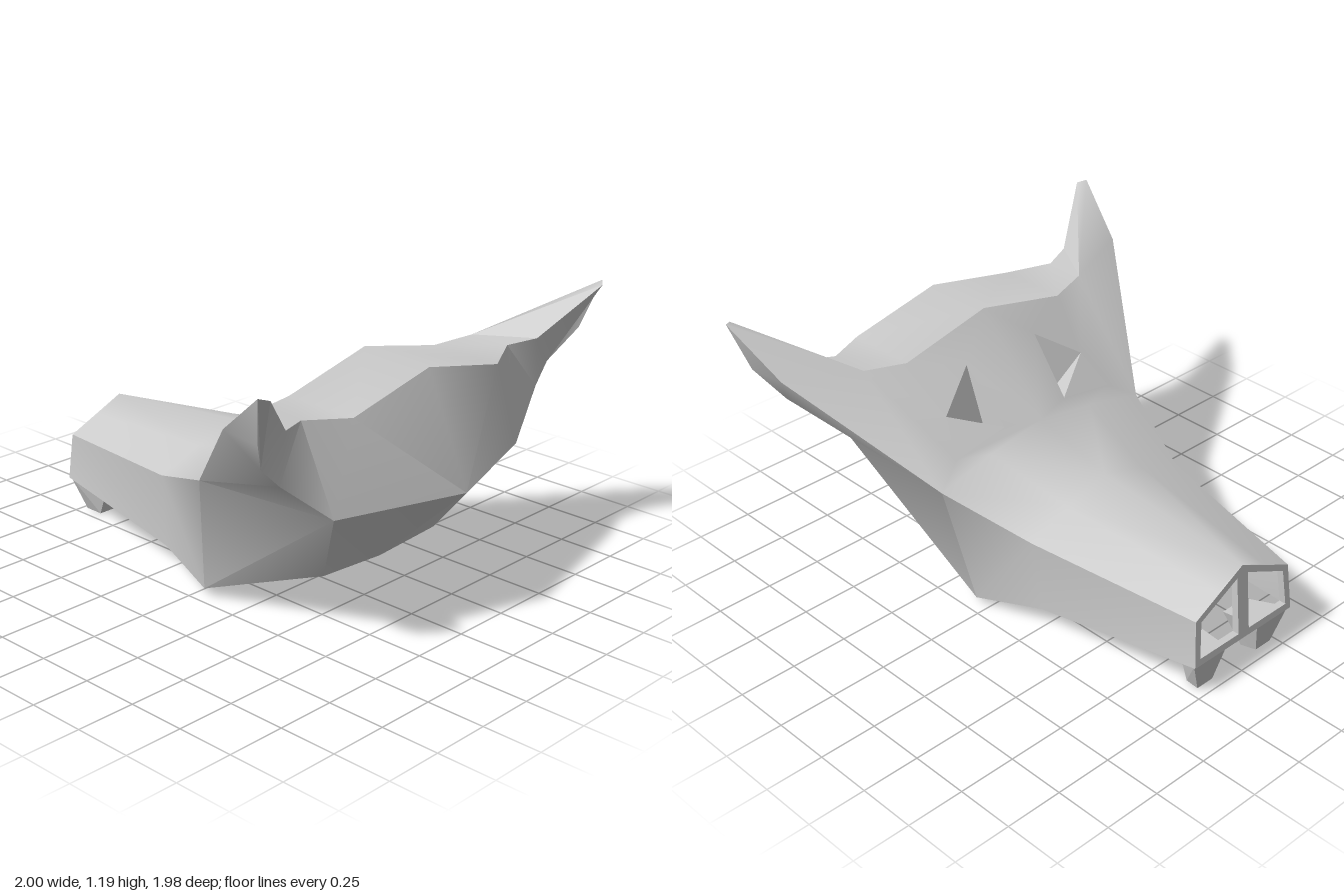
import * as THREE from 'three';
import { toCreasedNormals } from 'three/addons/utils/BufferGeometryUtils.js';

const material = new THREE.MeshStandardMaterial({ color: 0xcccccc, side: THREE.DoubleSide });

// Landmarks of the +z half: the snout points to -x, the horns rise at +x.
const P = {
  // snout sections: ridge, mid roof, eave, lower rim
  r0: [-0.97, 0.495, 0], m0: [-0.975, 0.433, 0.13], e0: [-0.98, 0.37, 0.267], j0: [-1, 0.165, 0.28],
  r1: [-0.23, 0.565, 0], m1: [-0.235, 0.505, 0.21], e1: [-0.24, 0.43, 0.415], j1: [-0.26, 0.1, 0.38],
  r2: [0.14, 0.66, 0], m2: [0.14, 0.615, 0.28], e2: [0.13, 0.555, 0.555], j2: [0.05, 0.035, 0.46],
  // brow line, horn and its tip
  f0: [0.48, 1.05, 0], f1: [0.48, 0.955, 0.42], f2: [0.53, 0.97, 0.6], e3: [0.64, 1, 0.92],
  tip: [0.88, 1.19, 0.99], tipIn: [0.905, 1.18, 0.955],
  h1: [0.82, 0.99, 0.93], h2: [0.74, 0.85, 0.835], h3: [0.75, 0.765, 0.75],
  // back of the crown, widest back line, lower back rim
  b0: [0.8, 1.04, 0], b1: [0.8, 0.95, 0.42], b2: [0.71, 0.965, 0.6], b3: [0.76, 0.975, 0.73],
  c: [1, 0.59, 0], k: [0.82, 0.59, 0.54], l0: [0.58, 0.2, 0], l: [0.58, 0.22, 0.33],
  // eye opening and the deepest point of its pocket
  ea: [0.18, 0.678, 0.17], eb: [0.38, 0.896, 0.19], ec: [0.295, 0.766, 0.38], ed: [0.18, 0.635, 0.43],
  ef: [0.295, 0.63, 0.18],
  // tooth: top ring t, bottom ring u
  t0: [-0.99, 0.165, 0.09], t1: [-0.99, 0.165, 0.275], t2: [-0.83, 0.16, 0.2], t3: [-0.83, 0.16, 0.07],
  u0: [-0.96, 0.01, 0.13], u1: [-0.96, 0.01, 0.215], u2: [-0.89, 0, 0.2], u3: [-0.89, 0, 0.12],
};

// Fan each polygon into triangles, on both sides of the z = 0 plane.
function part(name, polygons, crease = 0.6) {
  const pos = [];
  for (const poly of polygons) {
    const pts = poly.split(' ').map((key) => P[key]);
    for (let i = 1; i < pts.length - 1; i++) {
      const tri = [pts[0], pts[i], pts[i + 1]];
      for (const p of tri) pos.push(...p);
      for (const [x, y, z] of tri.reverse()) pos.push(x, y, -z);
    }
  }
  const geometry = new THREE.BufferGeometry();
  geometry.setAttribute('position', new THREE.Float32BufferAttribute(pos, 3));
  geometry.computeVertexNormals();
  const mesh = new THREE.Mesh(toCreasedNormals(geometry, crease), material);
  mesh.name = name;
  return mesh;
}

// Gabled frame with two openings that closes the end of the snout
function nostrilFrame() {
  const outline = new THREE.Shape([[-0.28, 0.165], [0.28, 0.165], [0.267, 0.37], [0, 0.495], [-0.267, 0.37]]
    .map(([x, y]) => new THREE.Vector2(x, y)));
  for (const s of [-1, 1]) {
    outline.holes.push(new THREE.Path([[0.03, 0.195], [0.25, 0.195], [0.237, 0.355], [0.03, 0.45]]
      .map(([x, y]) => new THREE.Vector2(s * x, y))));
  }
  const geometry = new THREE.ExtrudeGeometry(outline, { depth: 0.03, bevelEnabled: false });
  geometry.rotateY(-Math.PI / 2);
  // lean the frame back with the end of the snout
  const p = geometry.attributes.position;
  for (let i = 0; i < p.count; i++) p.setX(i, p.getX(i) - 0.97 + (p.getY(i) - 0.165) * 0.09);
  geometry.computeVertexNormals();
  const mesh = new THREE.Mesh(geometry, material);
  mesh.name = 'nostrilFrame';
  return mesh;
}

export function createModel() {
  const group = new THREE.Group();
  group.name = 'hornedSkullMask';
  group.add(
    // snout roof, forehead around the eyes, front of the horns
    part('snoutAndForehead', [
      'r0 m0 m1 r1', 'm0 e0 e1 m1', 'r1 m1 m2 r2', 'm1 e1 e2 m2',
      'r2 ea eb f0', 'r2 m2 ed ea', 'm2 e2 ed', 'ed e2 f2 ec', 'e2 e3 f2', 'ec f2 f1 eb', 'eb f1 f0',
      'f2 e3 tip tipIn',
    ], 0.9),
    part('eyeSockets', ['ea ed ec ef', 'ef ec eb', 'ea ef eb'], 0.1),
    part('crown', ['f0 f1 b1 b0', 'f1 f2 b2 b1', 'f2 tipIn b3 b2']),
    part('cheeks', [
      'e0 j0 j1 e1', 'e1 j1 j2 e2', 'j2 l k', 'j2 k e2', 'e2 k h3', 'e2 h3 h2 e3', 'e3 h2 h1 tip',
    ], 0.8),
    part('backOfHead', ['c b0 b1 k', 'k b1 b2 h3', 'h3 b2 b3 h2', 'h2 b3 tipIn tip h1', 'l0 c k l']),
    part('teeth', ['t0 u0 u1 t1', 't1 u1 u2 t2', 't2 u2 u3 t3', 't3 u3 u0 t0', 'u3 u2 u1 u0', 't0 t1 t2 t3'], 0.1),
    nostrilFrame(),
  );
  return group;
}
